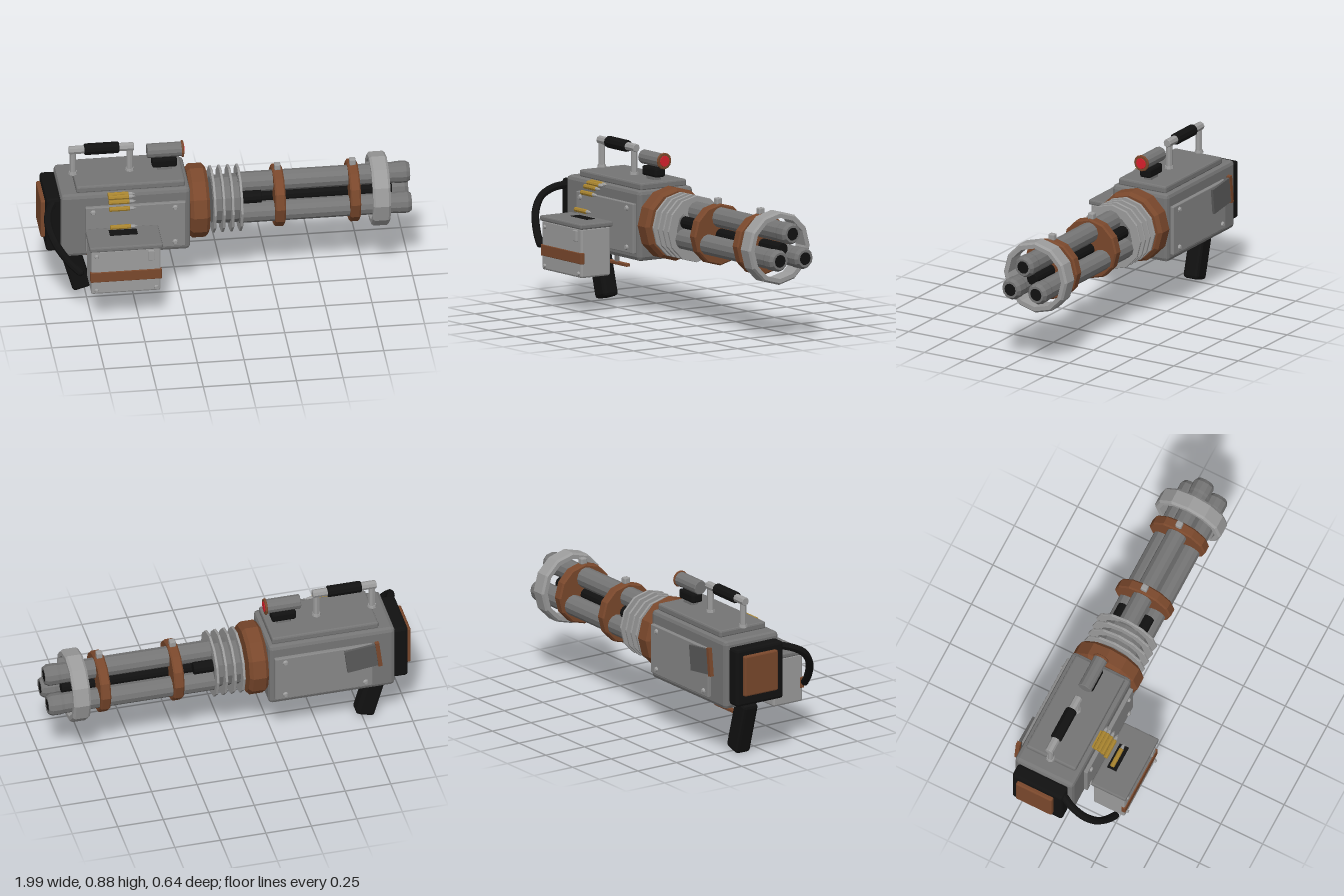
import * as THREE from 'three';
import { RoundedBoxGeometry } from 'three/addons/geometries/RoundedBoxGeometry.js';

const AY = 0.49, AZ = -0.11; // height and depth of the barrel axis

export function createModel() {
  const root = new THREE.Group();
  root.name = 'rotaryCannon';

  const mat = (name, color) => {
    const m = new THREE.MeshStandardMaterial({ color });
    m.name = name;
    return m;
  };
  const bodyGray = mat('bodyGray', 0x757575);
  const panelGray = mat('panelGray', 0x878787);
  const lightGray = mat('lightGray', 0x9c9c9c);
  const darkGray = mat('darkGray', 0x5a5a5a);
  const brown = mat('brown', 0x7a482c);
  const black = mat('black', 0x111111);
  const brass = mat('brass', 0xa8842f);
  const red = mat('red', 0xd8202c);

  // Faceted mesh
  const add = (name, geometry, material, x = 0, y = 0, z = 0, parent = root) => {
    const g = geometry.index ? geometry.toNonIndexed() : geometry;
    g.computeVertexNormals();
    const m = new THREE.Mesh(g, material);
    m.name = name;
    m.position.set(x, y, z);
    parent.add(m);
    return m;
  };

  // Bevelled box given by its limits on each axis
  const block = (name, material, [x0, x1], [y0, y1], [z0, z1], bevel = 0.01) =>
    add(name, bevel
      ? new RoundedBoxGeometry(x1 - x0, y1 - y0, z1 - z0, 1, bevel)
      : new THREE.BoxGeometry(x1 - x0, y1 - y0, z1 - z0),
    material, (x0 + x1) / 2, (y0 + y1) / 2, (z0 + z1) / 2);

  // Turned part along x from [x, radius] pairs
  const turned = (name, material, profile, y = AY, z = AZ, sides = 12) => {
    const g = new THREE.LatheGeometry(profile.map(([x, r]) => new THREE.Vector2(r, x)), sides);
    g.rotateZ(-Math.PI / 2);
    return add(name, g, material, 0, y, z);
  };
  const disc = (x0, x1, r, c = 0.003) =>
    [[x0, 0], [x0, r - c], [x0 + c, r], [x1 - c, r], [x1, r - c], [x1, 0]];

  // Domed rivet facing +z or -z
  const rivet = (x, y, z, side = 1, r = 0.013) => {
    const g = new THREE.CylinderGeometry(r * 0.6, r, 0.012, 8);
    g.rotateX(side * Math.PI / 2);
    add('rivet', g, lightGray, x, y, z + side * 0.005);
  };

  // Receiver with top cover and rear pad
  block('receiver', bodyGray, [-0.895, -0.2], [0.29, 0.67], [-0.285, 0.065], 0.022);
  block('topCover', bodyGray, [-0.81, -0.225], [0.665, 0.706], [-0.258, 0.037], 0.01);
  block('rearPad', black, [-0.972, -0.89], [0.32, 0.64], [-0.26, 0.04], 0.015);
  block('rearPlate', brown, [-0.995, -0.965], [0.38, 0.605], [-0.225, -0.01], 0.008);

  // Riveted panels on both sides
  for (const side of [1, -1]) {
    const z = AZ + side * 0.185;
    block('sidePanel', panelGray, [-0.765, -0.228], [0.33, 0.6], [z - 0.012, z + 0.012], 0.004);
    for (const x of [-0.725, -0.285]) for (const y of [0.36, 0.572]) rivet(x, y, z + side * 0.012, side, 0.016);
  }

  // Tilted hatch on the back panel
  const hatch = new THREE.Group();
  hatch.name = 'hatch';
  hatch.position.set(-0.71, 0.53, -0.314);
  hatch.rotation.z = -0.12;
  root.add(hatch);
  add('hatchDoor', new THREE.BoxGeometry(0.17, 0.14, 0.014), darkGray, 0.01, 0, 0, hatch);
  add('hatchStrip', new THREE.BoxGeometry(0.022, 0.155, 0.022), brown, -0.085, 0, 0, hatch);

  // Rear grip and trigger guard
  const grip = add('rearGrip', new RoundedBoxGeometry(0.105, 0.3, 0.092, 1, 0.018), black, -0.803, 0.153, AZ);
  grip.rotation.z = 0.28;
  block('guardBar', brown, [-0.79, -0.56], [0.2, 0.217], [AZ - 0.013, AZ + 0.013], 0.003);
  block('trigger', bodyGray, [-0.68, -0.655], [0.21, 0.3], [AZ - 0.009, AZ + 0.009], 0.003);

  // Carrying handle
  for (const x of [-0.81, -0.505]) {
    add('handlePost', new THREE.CylinderGeometry(0.018, 0.018, 0.15, 8), lightGray, x, 0.775, AZ);
    add('handleFoot', new THREE.CylinderGeometry(0.022, 0.025, 0.015, 8), lightGray, x, 0.712, AZ);
  }
  turned('handleBar', lightGray, disc(-0.832, -0.483, 0.023), 0.85, AZ, 8);
  turned('handleGrip', black, disc(-0.75, -0.563, 0.032, 0.006), 0.85, AZ, 10);

  // Sight
  block('sightFoot', bodyGray, [-0.36, -0.28], [0.7, 0.73], [AZ - 0.022, AZ + 0.022], 0.004);
  block('sightMount', black, [-0.388, -0.253], [0.722, 0.775], [AZ - 0.033, AZ + 0.033], 0.012);
  turned('sightTube', bodyGray, disc(-0.413, -0.225, 0.039), 0.815, AZ);
  turned('sightRim', brown, disc(-0.229, -0.217, 0.045), 0.815, AZ);
  turned('sightLens', red, disc(-0.219, -0.214, 0.03, 0.001), 0.815, AZ);

  // Collar, cooling fins and their core
  turned('collar', brown, disc(-0.2, -0.094, 0.198, 0.018));
  turned('finCore', bodyGray, disc(-0.073, 0.085, 0.13));
  for (let i = 0; i < 4; i++) {
    const x = -0.072 + i * 0.048;
    turned('coolingFin', lightGray, disc(x, x + 0.013, 0.18, 0.002));
  }

  // Three barrels with dark bores, and dark spacers between them
  turned('centreRod', black, disc(0.08, 0.9, 0.034));
  for (let i = 0; i < 3; i++) {
    const a = Math.PI / 2 + i * Math.PI * 2 / 3;
    const y = AY + 0.093 * Math.sin(a), z = AZ + 0.093 * Math.cos(a);
    turned('barrel', bodyGray, [[0.07, 0], [0.07, 0.056], [0.91, 0.056], [0.925, 0.059], [0.975, 0.059],
      [0.995, 0.047], [0.995, 0.035], [0.96, 0.035]], y, z);
    turned('bore', black, disc(0.94, 0.993, 0.0355, 0.001), y, z);
    turned('spacer', black, disc(0.07, 0.192, 0.034),
      AY - 0.083 * Math.sin(a), AZ - 0.083 * Math.cos(a));
  }

  // Clamps with a top lug
  for (const x of [0.287, 0.69]) {
    turned('barrelClamp', brown, disc(x - 0.028, x + 0.028, 0.167, 0.008));
    block('clampLug', lightGray, [x - 0.017, x + 0.017], [0.65, 0.686], [AZ - 0.018, AZ + 0.018], 0.006);
  }

  // Open ring at the muzzle
  turned('muzzleRing', lightGray, [[0.78, 0.165], [0.78, 0.188], [0.792, 0.198], [0.863, 0.198],
    [0.875, 0.188], [0.875, 0.165], [0.78, 0.165]]);

  // Ammunition box
  block('ammoBox', lightGray, [-0.763, -0.39], [0.197, 0.465], [0.12, 0.308], 0.01);
  block('ammoLid', bodyGray, [-0.772, -0.38], [0.46, 0.489], [0.11, 0.318], 0.008);
  block('ammoBand', brown, [-0.768, -0.386], [0.273, 0.333], [0.29, 0.314], 0.003);
  block('feedSlot', black, [-0.65, -0.5], [0.487, 0.492], [0.145, 0.2], 0);
  block('latch', lightGray, [-0.46, -0.423], [0.392, 0.452], [0.305, 0.32], 0.004);
  for (const x of [-0.735, -0.415]) rivet(x, 0.22, 0.308);
  rivet(-0.735, 0.43, 0.308);

  // Belt of rounds curving from the receiver into the box
  for (const [y, z] of [[0.655, 0.05], [0.665, 0.071], [0.661, 0.092], [0.644, 0.113], [0.613, 0.133], [0.525, 0.173]]) {
    turned('cartridge', brass, disc(-0.645, -0.535, 0.013, 0.002), y, z, 8);
    turned('cartridgeTip', lightGray, [[-0.536, 0], [-0.536, 0.011], [-0.515, 0.009], [-0.498, 0]], y, z, 8);
  }

  // Rear hose
  const path = new THREE.CatmullRomCurve3([
    [-0.93, 0.61, 0.02], [-0.965, 0.595, 0.09], [-0.975, 0.555, 0.165],
    [-0.945, 0.48, 0.225], [-0.88, 0.385, 0.262], [-0.82, 0.325, 0.282],
  ].map(p => new THREE.Vector3(...p)));
  add('hose', new THREE.TubeGeometry(path, 20, 0.021, 8), black);
  const end = add('hoseEnd', new THREE.SphereGeometry(0.021, 8, 6), black);
  end.position.copy(path.getPoint(1));

  return root;
}
